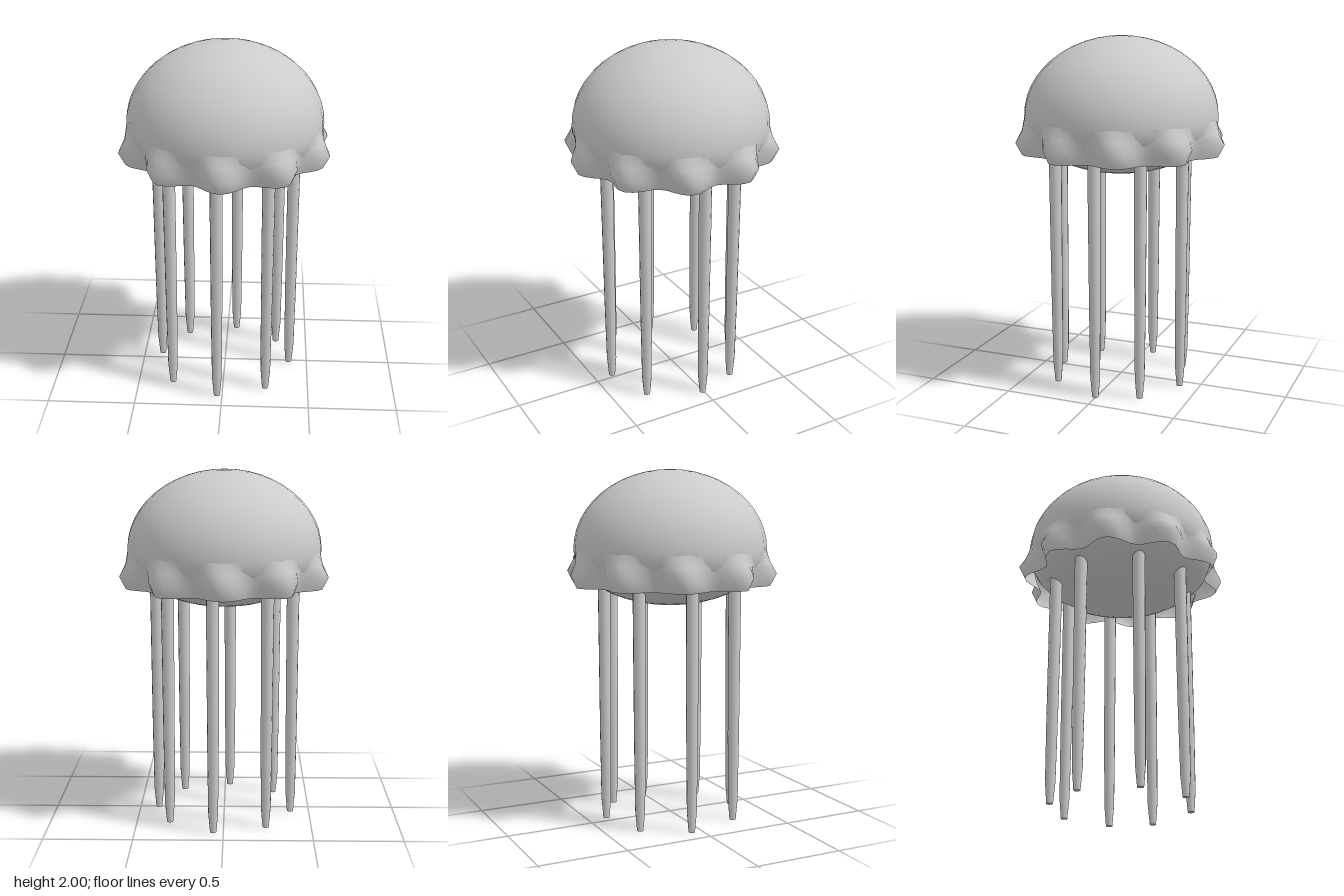
import * as THREE from 'three';
import { mergeVertices } from 'three/addons/utils/BufferGeometryUtils.js';

const material = new THREE.MeshStandardMaterial({ color: 0xcccccc });
const thinMaterial = new THREE.MeshStandardMaterial({ color: 0xcccccc, side: THREE.DoubleSide });

const RIM_Y = 1.55;
const BELL_R = 0.55;

// Weld the seam and recompute smooth normals
function smooth(geometry) {
  geometry.deleteAttribute('uv');
  geometry.deleteAttribute('normal');
  const welded = mergeVertices(geometry, 1e-4);
  welded.computeVertexNormals();
  return welded;
}

// Dome with a shallower, closed underside
function createBell() {
  const geometry = new THREE.SphereGeometry(BELL_R, 32, 24);
  const p = geometry.attributes.position;
  for (let i = 0; i < p.count; i++) {
    const y = p.getY(i) / BELL_R;
    p.setY(i, RIM_Y + y * (y > 0 ? 0.45 : 0.315));
  }
  const bell = new THREE.Mesh(smooth(geometry), material);
  bell.name = 'bell';
  return bell;
}

// Open frill of ten lobes flaring out below the rim
function createSkirt() {
  // radius, height, lobe depth
  const rings = [
    [0.53, 1.35, 0.042],
    [0.563, 1.42, 0.045],
    [0.55, 1.485, 0.02],
    [0.548, RIM_Y, 0],
  ];
  const profile = rings.map(([r, y]) => new THREE.Vector2(r, y));
  const geometry = new THREE.LatheGeometry(profile, 80);
  const p = geometry.attributes.position;
  for (let i = 0; i < p.count; i++) {
    const [r, , depth] = rings[i % rings.length];
    const angle = Math.atan2(p.getX(i), p.getZ(i));
    const k = (r + depth * Math.cos(10 * angle)) / r;
    p.setX(i, p.getX(i) * k);
    p.setZ(i, p.getZ(i) * k);
  }
  const skirt = new THREE.Mesh(smooth(geometry), thinMaterial);
  skirt.name = 'skirt';
  return skirt;
}

// Straight tentacles with tapered tips, in an uneven ring
function createTentacles() {
  const group = new THREE.Group();
  group.name = 'tentacles';
  const places = [
    [0.39, 0.005], [0.25, 0.3], [-0.03, 0.39], [-0.297, 0.255],
    [-0.39, -0.06], [-0.24, -0.307], [0.057, -0.386], [0.31, -0.233],
  ];
  const profile = [
    [0, 0], [0.018, 0], [0.018, 0], [0.028, 0.12], [0.032, 0.5], [0.036, 1.4], [0, 1.4],
  ].map(([r, y]) => new THREE.Vector2(r, y));
  const geometry = new THREE.LatheGeometry(profile, 12);
  places.forEach(([x, z], i) => {
    const tentacle = new THREE.Mesh(geometry, material);
    tentacle.name = `tentacle${i + 1}`;
    tentacle.position.set(x, 0, z);
    group.add(tentacle);
  });
  return group;
}

export function createModel() {
  const model = new THREE.Group();
  model.name = 'jellyfish';
  model.add(createBell(), createSkirt(), createTentacles());
  return model;
}
